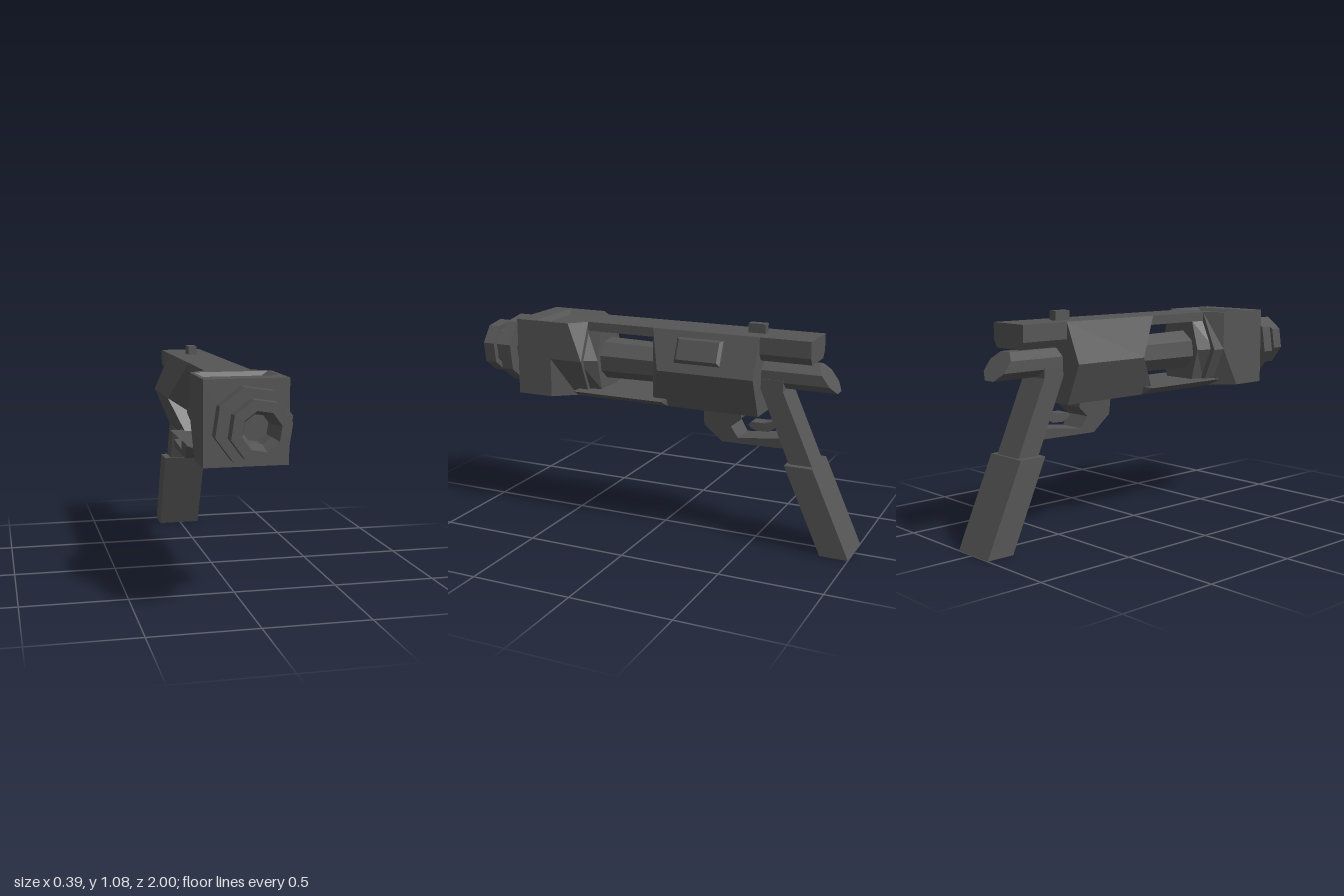
import * as THREE from 'three';

const CX = -0.007; // the body sits slightly off the centre plane
const AXIS_Y = 0.845; // height of the barrel axis

export function createModel() {
  const group = new THREE.Group();
  const material = new THREE.MeshStandardMaterial({ color: 0x555555, flatShading: true, side: THREE.DoubleSide });

  function add(name, geometry, x = CX, y = 0, z = 0) {
    const mesh = new THREE.Mesh(geometry, material);
    mesh.name = name;
    mesh.position.set(x, y, z);
    group.add(mesh);
    return mesh;
  }

  // Skin a list of equal-length loops and close both ends
  function loft(sections) {
    const out = [];
    const tri = (a, b, c) => out.push(...a, ...b, ...c);
    const n = sections[0].length;
    for (let s = 0; s < sections.length - 1; s++) {
      for (let i = 0; i < n; i++) {
        const j = (i + 1) % n;
        const p = sections[s], q = sections[s + 1];
        tri(p[i], p[j], q[j]);
        tri(p[i], q[j], q[i]);
      }
    }
    const first = sections[0], last = sections[sections.length - 1];
    for (let i = 1; i < n - 1; i++) {
      tri(first[0], first[i + 1], first[i]);
      tri(last[0], last[i], last[i + 1]);
    }
    const g = new THREE.BufferGeometry();
    g.setAttribute('position', new THREE.Float32BufferAttribute(out, 3));
    g.computeVertexNormals();
    return g;
  }

  // Mirror a right-hand half outline (bottom to top) into a full loop at z
  const mirrored = (half, z) => [
    ...half.map(([x, y]) => [x, y, z]),
    ...half.slice().reverse().map(([x, y]) => [-x, y, z]),
  ];

  // Side profile of [z, y] points extruded across x
  function sideProfile(points, width) {
    const shape = new THREE.Shape(points.map(([z, y]) => new THREE.Vector2(z, y)));
    const g = new THREE.ExtrudeGeometry(shape, { depth: width, bevelEnabled: false });
    g.translate(0, 0, -width / 2);
    g.rotateY(-Math.PI / 2);
    return g;
  }

  // Front block: square ahead, with its corners cut away towards the rear
  const W = 0.193, N = 0.11, TOP = 1.035, LOW = 0.65;
  const block = (bottom, top, topY, z) =>
    mirrored([[N, LOW], [bottom, LOW], [W, AXIS_Y], [top, topY], [N, topY]], z);
  add('frontBlock', loft([
    block(N, N, TOP, 0.38),
    block(N, W, TOP, 0.45),
    block(N, W, 1.01, 0.45),
    block(W, W, 1.01, 0.555),
    block(W, W, 1.01, 0.745),
  ]));

  // Recessed panel on top of the front block
  const rect = (w, z0, z1, y) => [[w, y, z1], [w, y, z0], [-w, y, z0], [-w, y, z1]];
  add('topRecess', loft([
    rect(W, 0.45, 0.745, 1.01),
    rect(W, 0.45, 0.745, TOP),
    rect(0.173, 0.453, 0.645, TOP),
    rect(0.132, 0.475, 0.625, 1.012),
  ]));

  // Collar where the barrel enters the front block
  add('barrelCollar', loft([
    mirrored([[0.09, 0.69], [0.13, AXIS_Y], [0.09, 0.99]], 0.32),
    mirrored([[0.1, 0.67], [0.18, AXIS_Y], [0.1, 1.02]], 0.4),
  ]));

  // Exposed barrel between the blocks
  const barrel = new THREE.CylinderGeometry(0.105, 0.097, 0.45, 8);
  barrel.rotateX(Math.PI / 2);
  barrel.rotateZ(Math.PI / 12);
  add('barrel', barrel, CX, 0.838, 0.15);

  // Floor below the window, chamfered underneath
  const floor = [[N, LOW], [W, 0.69]];
  add('floor', loft([mirrored(floor, -0.06), mirrored(floor, 0.43)]));

  // Rear block: six-sided, with its front end notched at the sides
  const hex = [[N, LOW], [W, AXIS_Y], [N, TOP]];
  const rearFront = mirrored(hex, 0.02);
  rearFront[1][2] = -0.04;
  rearFront[4][2] = -0.12;
  add('rearBlock', loft([mirrored(hex, -0.53), rearFront]));

  // Top rail and its overhanging tail
  add('topRail', new THREE.BoxGeometry(2 * N, 0.045, 0.55), CX, 1.0125, 0.145);
  const tail = [[0.085, 0.92], [N, 0.955], [N, TOP]];
  add('railTail', loft([mirrored(tail, -0.78), mirrored(tail, -0.5)]));
  add('rearSight', new THREE.BoxGeometry(0.045, 0.05, 0.085), CX, 1.055, -0.483);

  // Raised panel on the left upper slope
  const panel = add('sidePanel', loft([
    rect(0.062, -0.118, 0.118, -0.02),
    rect(0.062, -0.118, 0.118, 0.012),
    rect(0.05, -0.104, 0.104, 0.026),
  ]), 0.143, 0.945, -0.242);
  panel.rotation.z = -Math.atan2(0.19, 0.083);

  // Muzzle: stepped eight-sided rings with a hollow bore
  const profile = [
    [0.105, 0.74], [0.105, 0.812], [0.174, 0.812], [0.174, 0.875], [0.105, 0.875],
    [0.105, 0.938], [0.135, 0.938], [0.135, 1], [0.088, 1], [0.066, 0.94], [0.066, 0.86], [0, 0.86],
  ].map(([r, z]) => new THREE.Vector2(r, z));
  const muzzle = new THREE.LatheGeometry(profile, 8, THREE.MathUtils.degToRad(14));
  muzzle.rotateX(Math.PI / 2);
  add('muzzle', muzzle, CX, AXIS_Y, 0);

  // Rear bolt: eight-sided rod with a slanted end
  const bolt = new THREE.CylinderGeometry(0.08, 0.08, 0.4, 8);
  bolt.rotateY(Math.PI / 8);
  bolt.rotateX(-Math.PI / 2);
  bolt.scale(1.05, 0.85, 1);
  const bp = bolt.attributes.position;
  for (let i = 0; i < bp.count; i++) {
    if (bp.getZ(i) < 0) bp.setZ(i, -0.395 + (bp.getY(i) + 0.062) * 0.73);
    else bp.setZ(i, 0.1);
  }
  add('rearBolt', bolt, CX, 0.847, -0.495);

  // Grip: slim neck and thicker handle
  add('gripNeck', sideProfile([[-0.5, 0.83], [-0.53, 0.78], [-0.685, 0.42], [-0.8, 0.42], [-0.64, 0.78], [-0.64, 0.83]], 0.16));
  add('gripHandle', sideProfile([[-0.668, 0.428], [-0.86, 0], [-1, 0], [-0.808, 0.428]], 0.226));

  // Trigger guard, narrowing downwards
  const guard = sideProfile([
    [-0.24, 0.66], [-0.24, 0.57], [-0.33, 0.49], [-0.65, 0.495], [-0.63, 0.545],
    [-0.415, 0.52], [-0.38, 0.575], [-0.435, 0.625], [-0.435, 0.66],
  ], 0.166);
  const gp = guard.attributes.position;
  for (let i = 0; i < gp.count; i++) gp.setX(i, gp.getX(i) * (0.75 + 0.25 * (gp.getY(i) - 0.49) / 0.16));
  add('triggerGuard', guard);

  // Trigger hooked forward from the grip
  add('trigger', sideProfile([
    [-0.615, 0.66], [-0.57, 0.61], [-0.535, 0.6], [-0.47, 0.6], [-0.455, 0.585],
    [-0.47, 0.57], [-0.5, 0.558], [-0.56, 0.56], [-0.63, 0.61],
  ], 0.07));

  return group;
}
